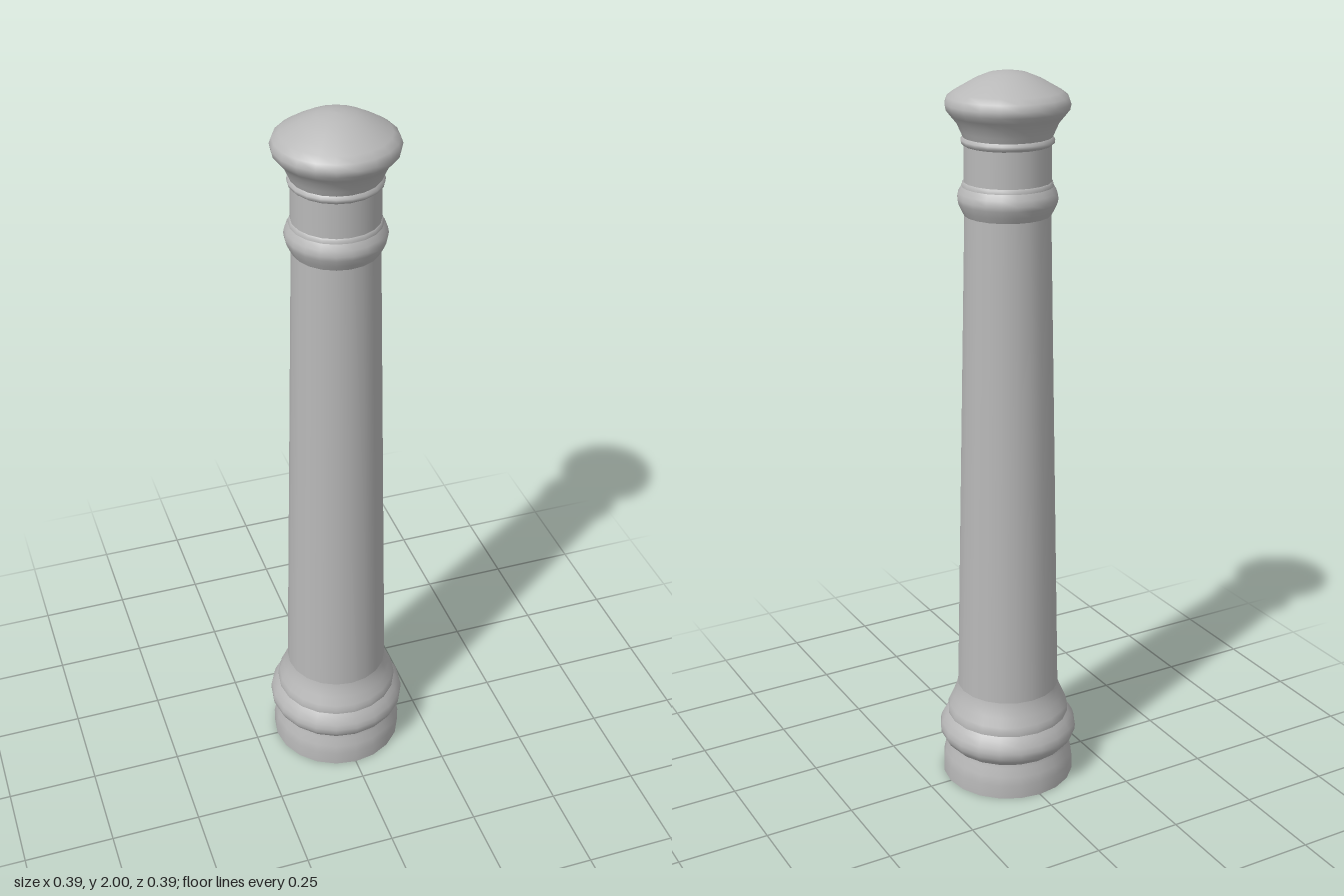
import * as THREE from 'three';

const SIDES = 20;

export function createModel() {
  const group = new THREE.Group();
  const stone = new THREE.MeshStandardMaterial({ color: 0xb8b8b8 });
  stone.name = 'greyPaint';

  // Each part is a turned profile of [radius, height], listed bottom to top
  const turned = (name, profile) => {
    const points = profile.map(([r, y]) => new THREE.Vector2(r, y));
    const mesh = new THREE.Mesh(new THREE.LatheGeometry(points, SIDES), stone);
    mesh.name = name;
    group.add(mesh);
  };

  // Foot and its mouldings
  turned('underside', [[0, 0], [0.187, 0]]);
  turned('foot', [[0.187, 0], [0.187, 0.04], [0.182, 0.065], [0.174, 0.09], [0.172, 0.1]]);
  turned('baseRing', [[0.172, 0.1], [0.186, 0.115], [0.194, 0.13], [0.195, 0.145],
    [0.191, 0.16], [0.181, 0.178], [0.172, 0.19]]);
  turned('baseCollar', [[0.172, 0.19], [0.172, 0.203], [0.167, 0.215], [0.156, 0.24],
    [0.147, 0.262], [0.143, 0.28]]);

  // Tapered shaft
  turned('shaft', [[0.143, 0.28], [0.113, 1.635]]);

  // Upper ring and neck
  turned('upperRing', [[0.113, 1.635], [0.121, 1.65], [0.129, 1.668], [0.131, 1.68],
    [0.128, 1.695], [0.119, 1.71]]);
  turned('ringLip', [[0.119, 1.71], [0.118, 1.718], [0.114, 1.722]]);
  turned('neck', [[0.114, 1.722], [0.113, 1.815]]);
  turned('neckBead', [[0.113, 1.815], [0.12, 1.821], [0.121, 1.829], [0.115, 1.836]]);

  // Flared cap with a shallow dome
  turned('cap', [[0.115, 1.836], [0.121, 1.85], [0.131, 1.872], [0.146, 1.89],
    [0.158, 1.905], [0.161, 1.92], [0.155, 1.937], [0.138, 1.95],
    [0.115, 1.963], [0.085, 1.98], [0.05, 1.994], [0.02, 1.999], [0, 2]]);

  return group;
}
